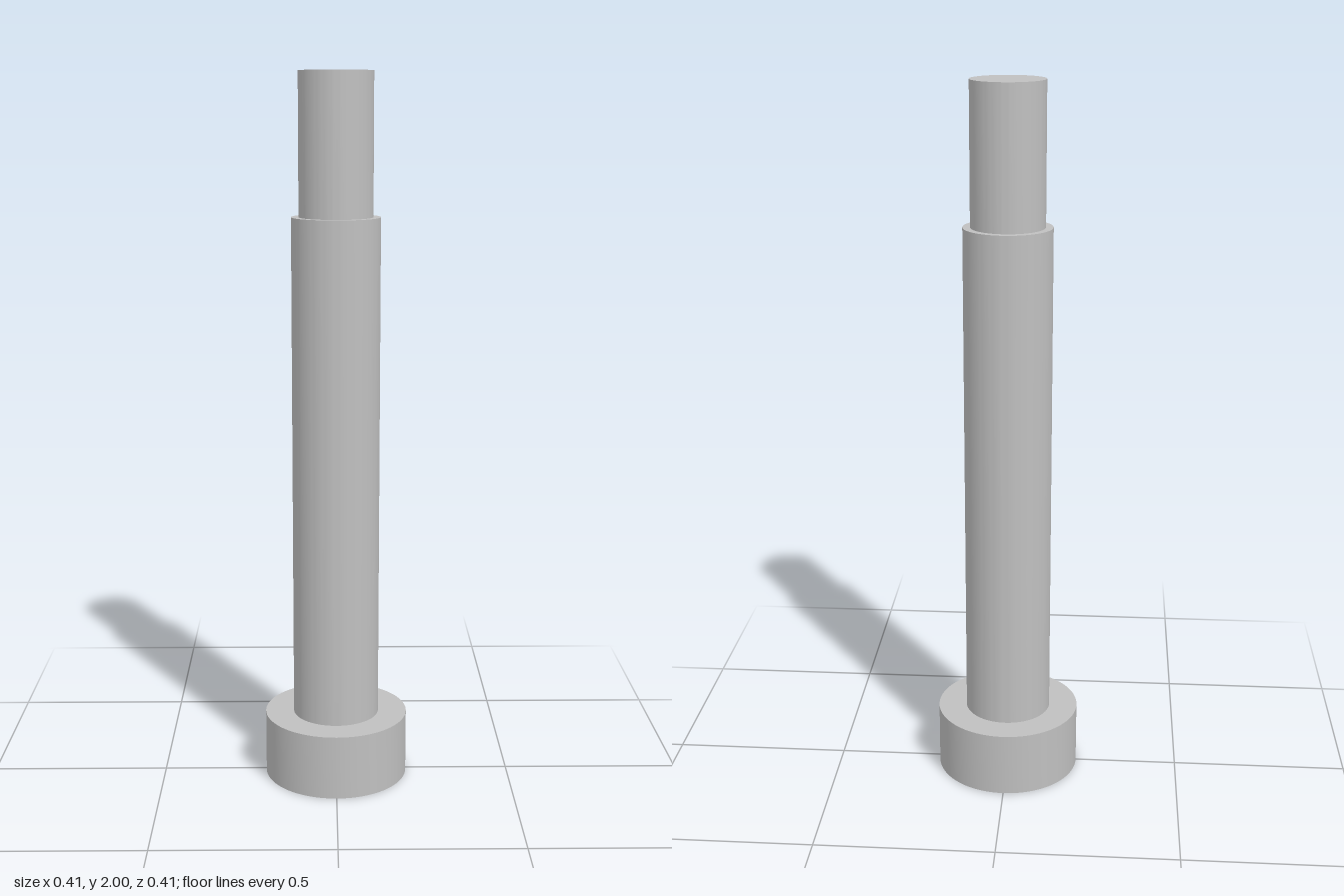
import * as THREE from 'three';
import { toCreasedNormals } from 'three/addons/utils/BufferGeometryUtils.js';

const SEGMENTS = 96;
const HEAD_R = 0.204, SHOULDER_R = 0.1225, TIP_R = 0.102;
const HEAD_TOP = 0.184, SHOULDER_TOP = 1.612, TIP_TOP = 2;
const SOCKET_R = 0.0707, SOCKET_DEPTH = 0.1;

export function createModel() {
  const steel = new THREE.MeshStandardMaterial({ color: 0xbfbfbf, side: THREE.DoubleSide });
  steel.name = 'steel grey';
  const bolt = new THREE.Group();
  bolt.name = 'shoulderBolt';

  const add = (name, geometry, parent = bolt) => {
    const mesh = new THREE.Mesh(geometry, steel);
    mesh.name = name;
    parent.add(mesh);
    return mesh;
  };

  // Turned surface with sharp rims, profile given from bottom to top
  const turned = (...profile) => toCreasedNormals(
    new THREE.LatheGeometry(profile.map(([r, y]) => new THREE.Vector2(r, y)), SEGMENTS),
    Math.PI / 6
  );

  // Stepped body: each part ends in the ledge below the next
  add('headSide', turned([HEAD_R, 0], [HEAD_R, HEAD_TOP], [SHOULDER_R, HEAD_TOP]));
  add('shoulder', turned([SHOULDER_R, HEAD_TOP], [SHOULDER_R, SHOULDER_TOP], [TIP_R, SHOULDER_TOP]));
  add('tip', turned([TIP_R, SHOULDER_TOP], [TIP_R, TIP_TOP]));
  const tipEnd = new THREE.CircleGeometry(TIP_R, SEGMENTS).rotateX(-Math.PI / 2);
  add('tipEnd', tipEnd.translate(0, TIP_TOP, 0));

  // Underside of the head, with a six-sided opening
  const face = new THREE.Shape().absarc(0, 0, HEAD_R, 0, Math.PI * 2, false);
  const corners = Array.from({ length: 6 }, (_, i) => new THREE.Vector2(
    SOCKET_R * Math.cos(i * Math.PI / 3), SOCKET_R * Math.sin(i * Math.PI / 3)));
  face.holes.push(new THREE.Path(corners));
  add('headFace', new THREE.ShapeGeometry(face, SEGMENTS).rotateX(Math.PI / 2));

  // Hex socket sunk into the head
  const socket = new THREE.Group();
  socket.name = 'hexSocket';
  bolt.add(socket);
  const walls = new THREE.CylinderGeometry(SOCKET_R, SOCKET_R, SOCKET_DEPTH, 6, 1, true, Math.PI / 6);
  add('socketWalls', toCreasedNormals(walls.translate(0, SOCKET_DEPTH / 2, 0), Math.PI / 6), socket);
  const floor = new THREE.CircleGeometry(SOCKET_R, 6).rotateX(Math.PI / 2);
  add('socketFloor', floor.translate(0, SOCKET_DEPTH, 0), socket);

  return bolt;
}
